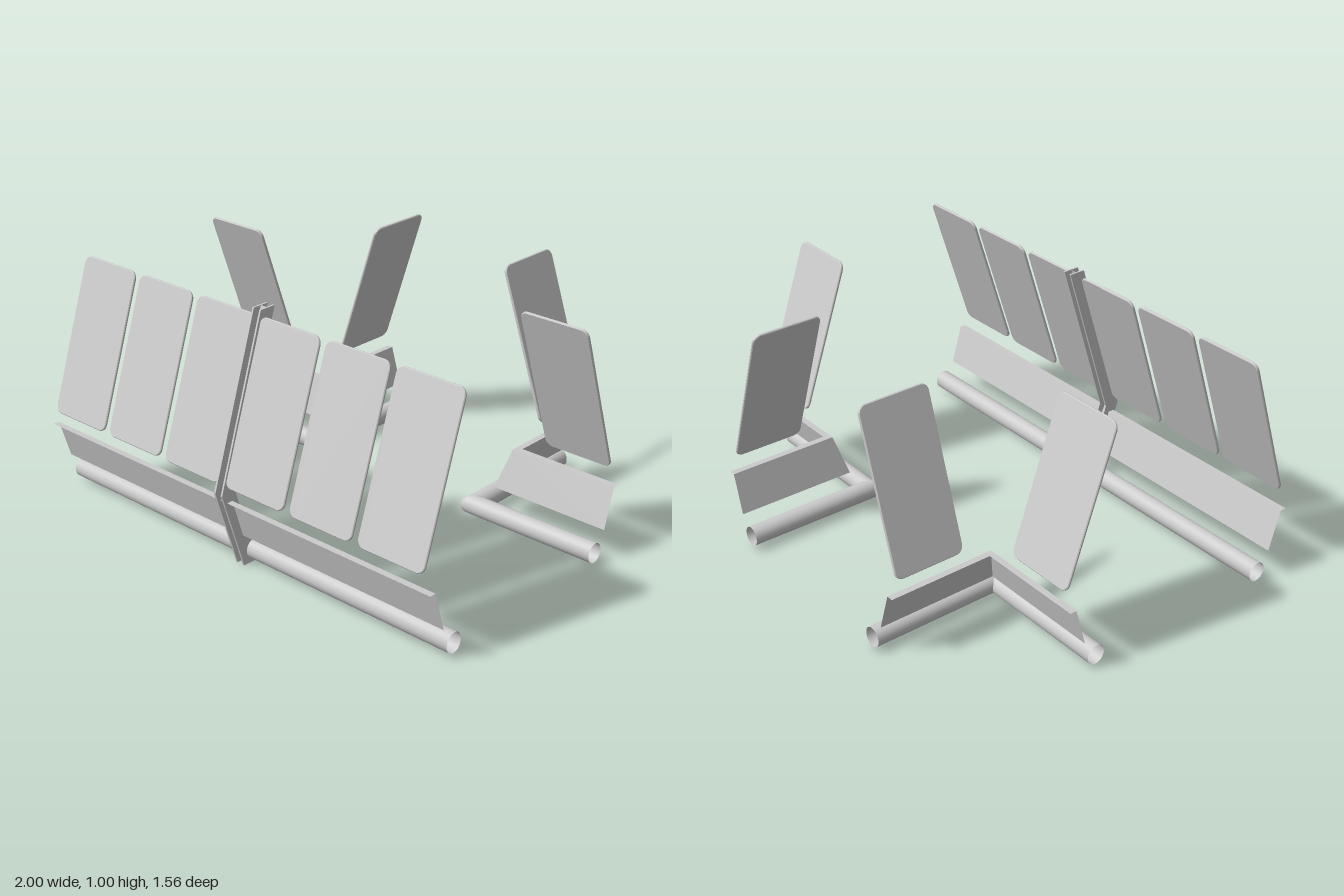
import * as THREE from 'three';

const plain = new THREE.MeshStandardMaterial({ color: 0xcccccc, side: THREE.DoubleSide });
const flat = new THREE.MeshStandardMaterial({ color: 0xcccccc, side: THREE.DoubleSide, flatShading: true });

// Cross-sections as [distance outward from the passage, height]
const pipeProfile = Array.from({ length: 24 }, (_, i) => {
  const t = (i / 24) * Math.PI * 2;
  return [0.206 + 0.039 * Math.cos(t), 0.054 + 0.041 * Math.sin(t)];
});
const skirtProfile = [[0.262, 0.13], [0.31, 0.295], [0.337, 0.295]];

// Wall runs: each end gives [x, z] for a distance outward, so corners are mitred
const frontZ = 0.422, cornerX = 0.213, backZ = -0.78;
const runs = [{ name: 'front', a: d => [-1, d + frontZ], b: d => [1, d + frontZ] }];
for (const s of [1, -1]) {
  const side = s > 0 ? 'left' : 'right';
  const end = d => [s, -d];
  const corner = d => [s * (cornerX + d), -d];
  const back = d => [s * (cornerX + d), backZ];
  for (const [name, p, q] of [[side + 'Corner', end, corner], [side + 'Branch', corner, back]]) {
    runs.push(s > 0 ? { name, a: p, b: q } : { name, a: q, b: p });
  }
}

// Straight sweep of a cross-section between two run ends
function sweep(profile, run, closed) {
  const pos = [], index = [], n = profile.length;
  for (const [d, y] of profile) {
    const [ax, az] = run.a(d), [bx, bz] = run.b(d);
    pos.push(ax, y, az, bx, y, bz);
  }
  for (let i = 0; i < (closed ? n : n - 1); i++) {
    const p = 2 * i, q = 2 * ((i + 1) % n);
    index.push(p, p + 1, q + 1, p, q + 1, q);
  }
  const g = new THREE.BufferGeometry();
  g.setAttribute('position', new THREE.Float32BufferAttribute(pos, 3));
  g.setIndex(index);
  g.computeVertexNormals();
  return g;
}

// Thin wall panel with rounded corners
function panelGeometry() {
  const w = 0.147, h = 0.321, r = 0.03;
  const s = new THREE.Shape();
  s.absarc(w - r, h - r, r, 0, Math.PI / 2);
  s.absarc(-w + r, h - r, r, Math.PI / 2, Math.PI);
  s.absarc(-w + r, -h + r, r, Math.PI, Math.PI * 1.5);
  s.absarc(w - r, -h + r, r, Math.PI * 1.5, Math.PI * 2);
  s.closePath();
  return new THREE.ExtrudeGeometry(s, {
    depth: 0.006, bevelEnabled: true, bevelThickness: 0.003, bevelSize: 0.003, bevelSegments: 1, curveSegments: 6,
  }).translate(0, 0, -0.003);
}

export function createModel() {
  const model = new THREE.Group();
  const add = (name, geometry, material = plain) => {
    const mesh = new THREE.Mesh(geometry, material);
    mesh.name = name;
    model.add(mesh);
    return mesh;
  };

  // Floor pipes and folded skirting along every wall
  for (const run of runs) {
    add(run.name + 'Pipe', sweep(pipeProfile, run, true));
    add(run.name + 'Skirt', sweep(skirtProfile, run, false), flat);
  }

  // Wall panels leaning in over the passage
  const panel = panelGeometry();
  const addPanel = (name, x, z, yaw) => {
    const m = add(name, panel);
    m.position.set(x, 0.667, z);
    m.rotation.set(-0.327, yaw, 0, 'YXZ');
  };
  for (const s of [1, -1]) {
    for (const x of [0.165, 0.493, 0.82]) addPanel('frontPanel', s * x, 0.655, 0);
    addPanel('cornerPanel', s * 0.82, -0.225, Math.PI);
    addPanel('branchPanel', s * 0.439, -0.605, s * Math.PI / 2);
  }

  // Central rib: two bent side plates joined by a recessed web
  const outline = [[0.56, 1], [0.49, 1], [0.715, 0.33], [0.655, 0.12], [0.59, 0.11], [0.557, 0], [0.682, 0], [0.782, 0.33]];
  const plate = new THREE.ExtrudeGeometry(
    new THREE.Shape(outline.map(p => new THREE.Vector2(...p))), { depth: 0.008, bevelEnabled: false },
  ).translate(0, 0, -0.004).rotateY(-Math.PI / 2);
  for (const s of [1, -1]) add('ribPlate', plate).position.x = s * 0.018;
  const web = [[0.63, 0], [0.665, 0.11], [0.748, 0.33], [0.525, 1]];
  add('ribWeb', sweep(web, { a: d => [-0.016, d], b: d => [0.016, d] }, false), flat);

  return model;
}
